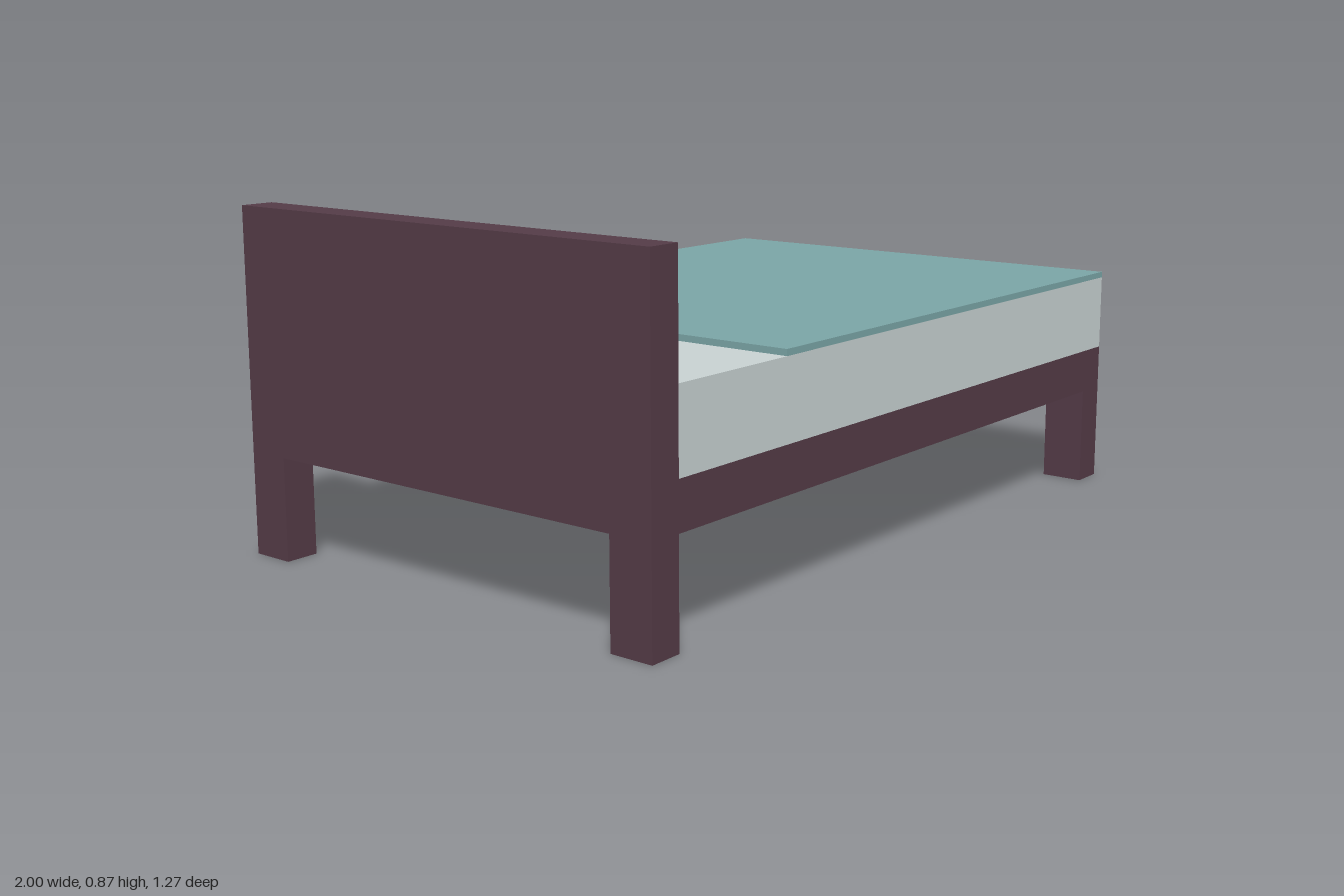
import * as THREE from 'three';

const wood = new THREE.MeshStandardMaterial({ color: 0x543b47 });
const linen = new THREE.MeshStandardMaterial({ color: 0xc8d2d2 });
const cloth = new THREE.MeshStandardMaterial({ color: 0x7aa5a6 });

const HALF_WIDTH = 0.636;
const LEG_HEIGHT = 0.26;
const FRAME_TOP = 0.377;
const MATTRESS_TOP = 0.577;
const HEAD_X = -0.912; // inner face of the headboard

// Box given by its lower and upper limits on each axis
function block(name, material, [x0, x1], [y0, y1], [z0, z1] = [-HALF_WIDTH, HALF_WIDTH]) {
  const mesh = new THREE.Mesh(new THREE.BoxGeometry(x1 - x0, y1 - y0, z1 - z0), material);
  mesh.position.set((x0 + x1) / 2, (y0 + y1) / 2, (z0 + z1) / 2);
  mesh.name = name;
  return mesh;
}

export function createModel() {
  const bed = new THREE.Group();
  bed.name = 'bed';

  // Wooden frame and headboard
  bed.add(block('frame', wood, [HEAD_X, 1], [LEG_HEIGHT, FRAME_TOP]));
  bed.add(block('headboard', wood, [-1, HEAD_X], [LEG_HEIGHT, 0.865]));

  // Four corner legs
  const legs = new THREE.Group();
  legs.name = 'legs';
  for (const [end, x] of [['head', [-1, HEAD_X]], ['foot', [0.908, 1]]]) {
    legs.add(block(end + 'LegFront', wood, x, [0, LEG_HEIGHT], [0.522, HALF_WIDTH]));
    legs.add(block(end + 'LegBack', wood, x, [0, LEG_HEIGHT], [-HALF_WIDTH, -0.522]));
  }
  bed.add(legs);

  // Cloth lining flush with the underside of the frame
  const lining = new THREE.Mesh(new THREE.PlaneGeometry(1 - HEAD_X, 2 * HALF_WIDTH), cloth);
  lining.name = 'undersideLining';
  lining.rotation.x = Math.PI / 2;
  lining.position.set((1 + HEAD_X) / 2, LEG_HEIGHT - 0.001, 0);
  bed.add(lining);

  // Mattress with a thin blanket on top
  bed.add(block('mattress', linen, [HEAD_X, 1], [FRAME_TOP, MATTRESS_TOP]));
  bed.add(block('blanket', cloth, [-0.535, 1], [MATTRESS_TOP, 0.593]));

  return bed;
}
